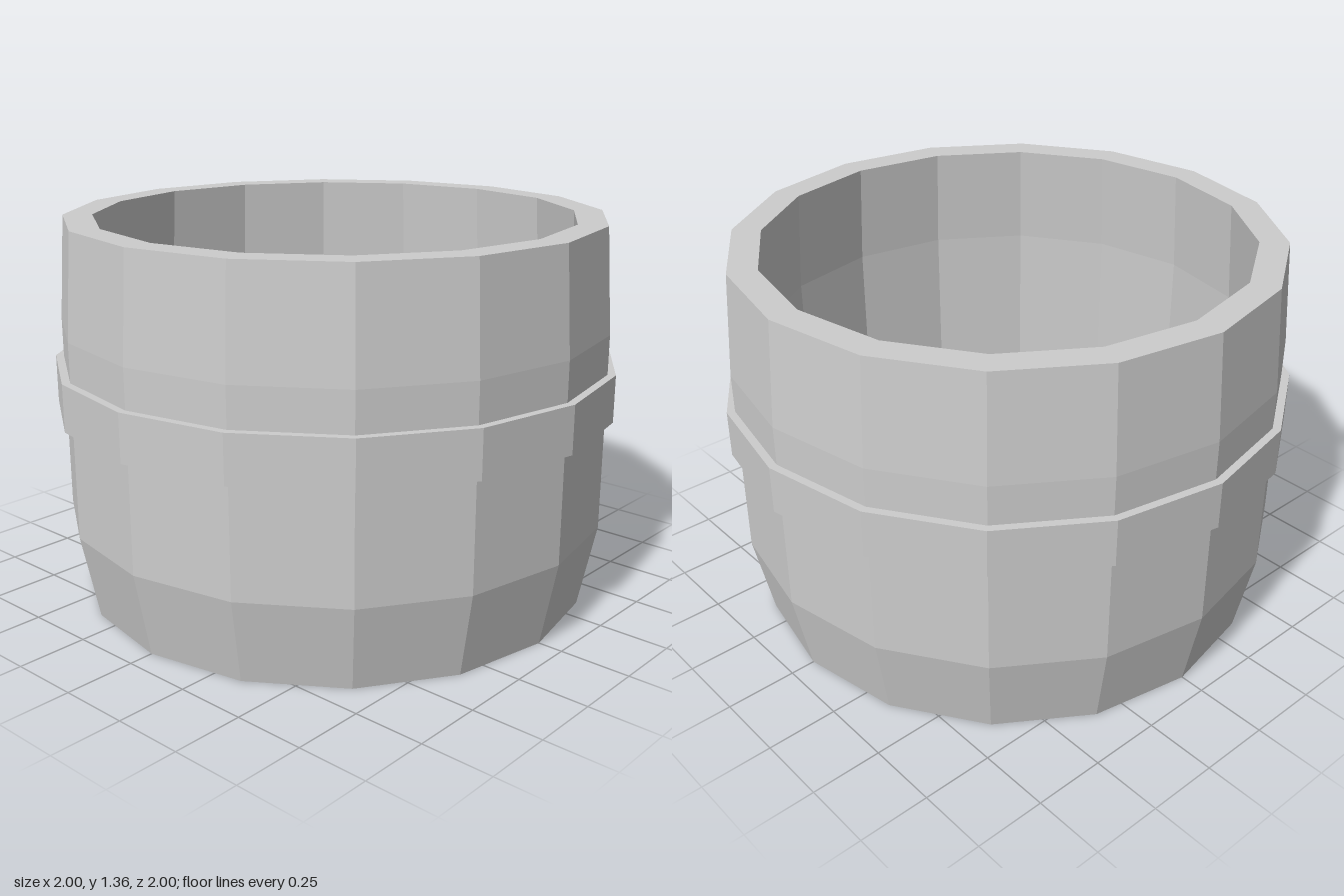
import * as THREE from 'three';

const SIDES = 16;

// Faceted solid of revolution from [radius, height] pairs, listed outside going up
function faceted(name, profile, material) {
  const points = profile.map(([r, y]) => new THREE.Vector2(r, y));
  const geometry = new THREE.LatheGeometry(points, SIDES).toNonIndexed();
  geometry.computeVertexNormals();
  const mesh = new THREE.Mesh(geometry, material);
  mesh.name = name;
  return mesh;
}

export function createModel() {
  const group = new THREE.Group();
  group.name = 'openBarrel';

  const grey = new THREE.MeshStandardMaterial({ color: 0xcccccc, flatShading: true });
  grey.name = 'grey';

  // Hollow tub: base, bulging outer wall, flat rim, inner wall and floor
  group.add(faceted('tub', [
    [0, 0], [0.912, 0], [0.972, 0.3], [0.972, 0.99], [0.947, 1.355],
    [0.845, 1.355], [0.87, 0.99], [0.87, 0.3], [0.815, 0.04], [0, 0.04],
  ], grey));

  // Hoop around the middle
  group.add(faceted('hoop', [
    [0.96, 0.686], [1, 0.686], [1, 0.853], [0.96, 0.853],
  ], grey));

  return group;
}
